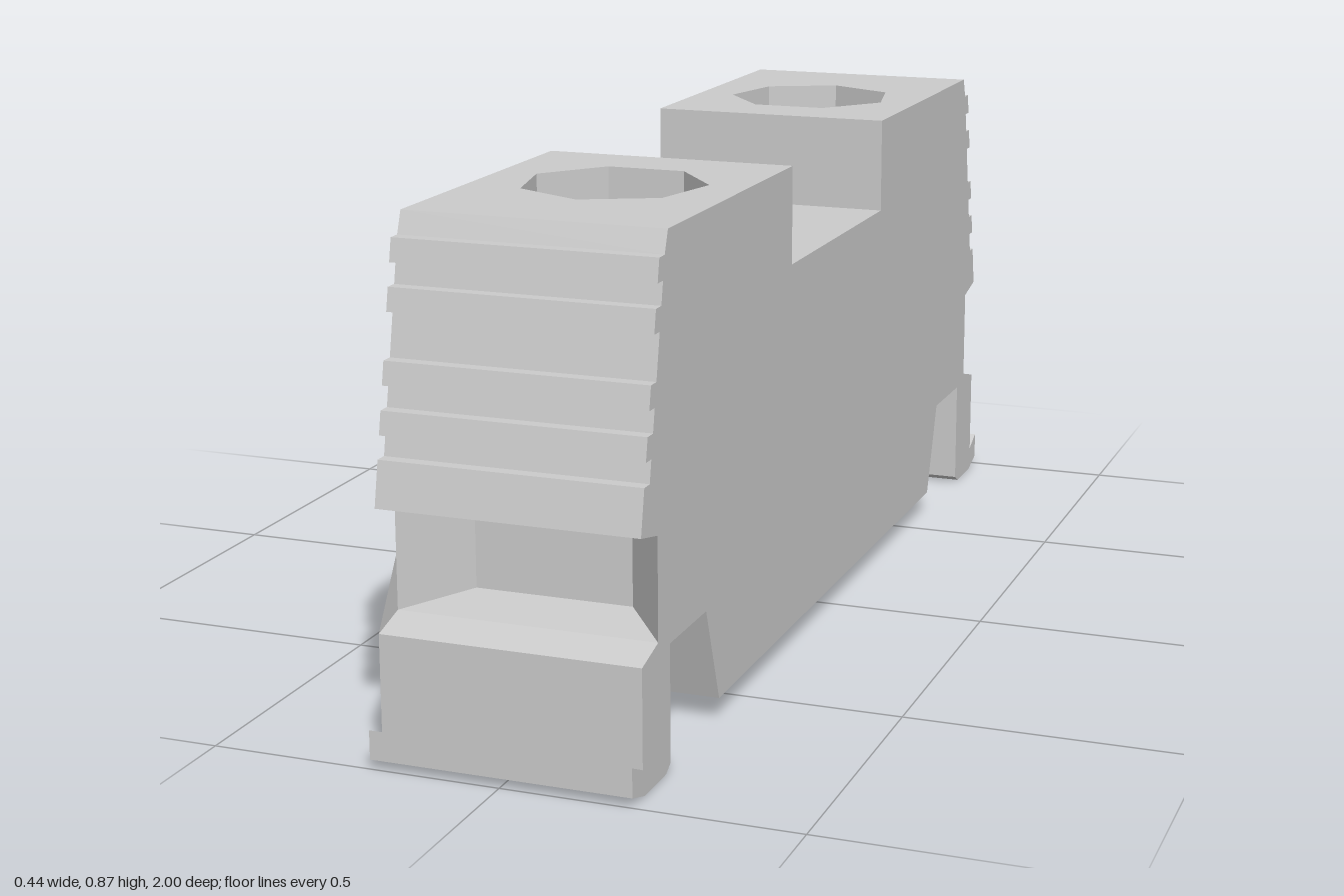
import * as THREE from 'three';

const W = 0.222;      // half width
const TOP = 0.865;
const SCREW_Z = 0.513;
const mat = new THREE.MeshStandardMaterial({ color: 0xcccccc, flatShading: true });
const sheetMat = new THREE.MeshStandardMaterial({ color: 0xcccccc, flatShading: true, side: THREE.DoubleSide });

function mesh(name, geometry, material = mat) {
  const m = new THREE.Mesh(geometry, material);
  m.name = name;
  return m;
}

// Flat-shaded geometry from a list of four-cornered faces
function quads(faces) {
  const pos = [];
  for (const [a, b, c, d] of faces) pos.push(...a, ...b, ...c, ...a, ...c, ...d);
  const g = new THREE.BufferGeometry();
  g.setAttribute('position', new THREE.Float32BufferAttribute(pos, 3));
  g.computeVertexNormals();
  return g;
}

// Faces joining two loops with equal point counts
const bridge = (a, b) => a.map((p, i) => {
  const j = (i + 1) % a.length;
  return [p, a[j], b[j], b[i]];
});

const toShape = (pts) => new THREE.Shape(pts.map(([u, v]) => new THREE.Vector2(u, v)));

// Seven-sided outline with one corner toward +v (dir = 1) or -v (dir = -1)
const heptagon = (r, dir, cv = 0) => Array.from({ length: 7 }, (_, i) => {
  const a = dir * Math.PI / 2 + i * Math.PI * 2 / 7;
  return [Math.cos(a) * r, cv + Math.sin(a) * r];
});

// Front half of the side outline as [z, y], from the underside round to the top notch
function halfProfile() {
  const pts = [
    [0.62, 0.04], [0.68, 0.21], [0.84, 0.21], [0.84, 0.012], [0.86, 0], [0.95, 0],
    [1, 0.016], [1, 0.065], [0.957, 0.045], [0.957, 0.21],
    [0.89, 0.228], [0.89, 0.4], [0.957, 0.415],
  ];
  // Grip ribs stepping up the sloped end
  const outer = (y) => 0.957 - (y - 0.415) * 0.197;
  const inner = (y) => outer(y) - 0.022;
  pts.push([outer(0.49), 0.49], [inner(0.49), 0.49]);
  for (const y of [0.527, 0.603, 0.715, 0.79]) {
    pts.push([inner(y), y], [outer(y), y], [outer(y + 0.038), y + 0.038], [inner(y + 0.038), y + 0.038]);
  }
  pts.push([0.84, TOP], [0.26, TOP], [0.26, 0.695]);
  return pts;
}

// Recess opening in each end and the screw well in each top
function createEnd() {
  const end = new THREE.Group();
  const rect = (w, y0, y1, z) => [[-w, y0, z], [w, y0, z], [w, y1, z], [-w, y1, z]];
  const mouth = rect(W, 0.228, 0.4, 0.89);
  const back = rect(0.136, 0.24, 0.385, 0.78);
  end.add(mesh('wireEntry', quads([...bridge(mouth, back), back])));

  // Top surface; shape v is -z
  const top = toShape([[-W, -0.84], [W, -0.84], [W, -0.26], [-W, -0.26]]);
  const hole = heptagon(0.157, -1, -SCREW_Z);
  top.holes.push(toShape(hole));
  end.add(mesh('topSurface', new THREE.ShapeGeometry(top).rotateX(-Math.PI / 2).translate(0, TOP, 0)));
  const ring = (y) => hole.map(([x, v]) => [x, y, -v]);
  end.add(mesh('screwWellWall', quads(bridge(ring(TOP), ring(TOP - 0.12)))));
  end.add(mesh('screwWellFloor',
    new THREE.ShapeGeometry(toShape(hole)).rotateX(-Math.PI / 2).translate(0, TOP - 0.12, 0)));
  return end;
}

// Slotted screw head, corner toward -z
function createScrew(z) {
  const s = toShape(heptagon(0.136, 1));
  s.holes.push(toShape([[-0.028, -0.1], [0.028, -0.1], [0.028, 0.1], [-0.028, 0.1]]));
  const g = new THREE.ExtrudeGeometry(s, { depth: 0.03, bevelEnabled: false });
  return mesh('screwHead', g.rotateX(-Math.PI / 2).translate(0, TOP - 0.12, z));
}

export function createModel() {
  const model = new THREE.Group();
  model.name = 'terminalBlock';

  const half = halfProfile();
  const outline = [...half, ...half.map(([z, y]) => [-z, y]).reverse()];

  // Two side faces
  const side = toShape(outline);
  model.add(mesh('rightSide', new THREE.ShapeGeometry(side).rotateY(-Math.PI / 2).translate(-W, 0, 0)));
  model.add(mesh('leftSide', new THREE.ShapeGeometry(side).rotateY(Math.PI / 2).translate(W, 0, 0)));

  // Walls around the outline, leaving out the tops and the recess mouths
  const faces = [];
  outline.forEach((a, i) => {
    const b = outline[(i + 1) % outline.length];
    const isTop = a[1] === TOP && b[1] === TOP;
    const isMouth = Math.abs(a[0]) === 0.89 && a[0] === b[0];
    if (isTop || isMouth) return;
    faces.push([[W, a[1], a[0]], [W, b[1], b[0]], [-W, b[1], b[0]], [-W, a[1], a[0]]]);
  });
  model.add(mesh('bodyShell', quads(faces)));

  // Matching ends
  for (const [name, turn] of [['frontEnd', 0], ['backEnd', Math.PI]]) {
    const end = createEnd();
    end.name = name;
    end.rotation.y = turn;
    model.add(end);
  }
  model.add(createScrew(SCREW_Z), createScrew(-SCREW_Z));

  // Thin side webs closing the notches on one side
  const web = (name, pts) => model.add(mesh(name,
    new THREE.ShapeGeometry(toShape(pts)).rotateY(-Math.PI / 2).translate(-W, 0, 0), sheetMat));
  web('frontWeb', [[0.957, 0.21], [0.89, 0.32], [0.89, 0.228]]);
  web('backWeb', [[-0.957, 0.21], [-0.89, 0.228], [-0.89, 0.4], [-0.957, 0.415]]);

  return model;
}
